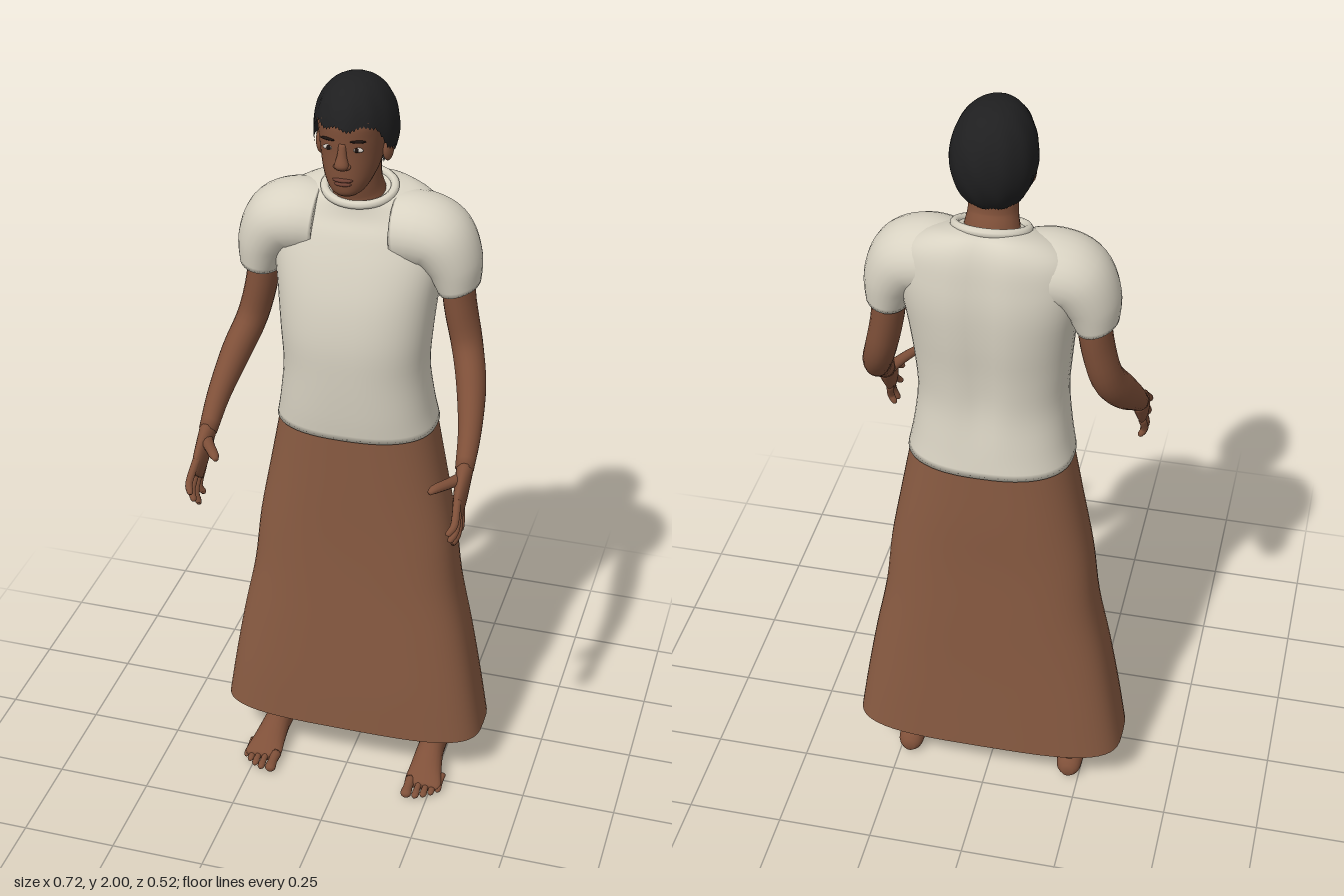
import * as THREE from 'three';

const V = (x, y, z) => new THREE.Vector3(x, y, z);
const X = V(1, 0, 0), Y = V(0, 1, 0), Z = V(0, 0, 1);
const ss = THREE.MathUtils.smoothstep;

// Smooth skin over rows of [x, y, z, radiusAlongRef, radiusAcross, squareness]
function loft(rows, { ref = X, dir = null, sides = 20, steps = 4, open = false, shape = null } = {}) {
  const path = new THREE.CatmullRomCurve3(rows.map(r => V(r[0], r[1], r[2])), false, 'catmullrom', 0.5);
  const size = new THREE.CatmullRomCurve3(rows.map(r => V(r[3], r[4], r[5] ?? 2)), false, 'catmullrom', 0.5);
  const n = (rows.length - 1) * steps, pos = [], idx = [];
  const bend = (c, e) => Math.sign(c) * Math.abs(c) ** (2 / e);
  for (let i = 0; i <= n; i++) {
    const c = path.getPoint(i / n), s = size.getPoint(i / n);
    const t = dir ?? path.getTangent(i / n);
    const u = ref.clone().addScaledVector(t, -ref.dot(t)).normalize();
    const v = t.clone().cross(u);
    for (let j = 0; j < sides; j++) {
      const a = j / sides * Math.PI * 2;
      const p = c.clone().addScaledVector(u, s.x * bend(Math.cos(a), s.z))
        .addScaledVector(v, s.y * bend(Math.sin(a), s.z));
      if (shape) shape(p);
      pos.push(p.x, p.y, p.z);
    }
  }
  for (let i = 0; i < n; i++) for (let j = 0; j < sides; j++) {
    const a = i * sides + j, b = i * sides + (j + 1) % sides;
    idx.push(a, b, b + sides, a, b + sides, a + sides);
  }
  if (!open) {
    const first = pos.length / 3, end = n * sides;
    for (const k of [0, end]) {
      const c = V(0, 0, 0);
      for (let j = 0; j < sides; j++) c.add(V().fromArray(pos, (k + j) * 3));
      pos.push(...c.divideScalar(sides).toArray());
    }
    for (let j = 0; j < sides; j++) {
      const m = (j + 1) % sides;
      idx.push(first, m, j, first + 1, end + j, end + m);
    }
  }
  const g = new THREE.BufferGeometry();
  g.setAttribute('position', new THREE.Float32BufferAttribute(pos, 3));
  g.setIndex(idx);
  g.computeVertexNormals();
  return g;
}

// Stack of level sections given as [y, halfWidth, zFront, zBack, squareness]
const stack = (rows, opts = {}) => loft(
  rows.map(([y, w, f, b, e]) => [0, y, (f + b) / 2, (f - b) / 2, w, e]),
  { ref: Z, dir: Y, sides: 56, ...opts });

export function createModel() {
  const model = new THREE.Group();
  model.name = 'standingFigure';
  const mat = (name, color, side = THREE.FrontSide) => {
    const m = new THREE.MeshStandardMaterial({ color, side });
    m.name = name;
    return m;
  };
  const skin = mat('skin', 0x7f5039), shirt = mat('shirtCream', 0xd8d2c2, THREE.DoubleSide);
  const cloth = mat('skirtBrown', 0x895b42, THREE.DoubleSide), hair = mat('hairBlack', 0x1f1f20, THREE.DoubleSide);
  const white = mat('eyeWhite', 0xcfc6bd), dark = mat('eyeDark', 0x1c1310), lip = mat('lips', 0x6d4033);
  const add = (name, geo, m) => {
    const mesh = new THREE.Mesh(geo, m);
    mesh.name = name;
    model.add(mesh);
    return mesh;
  };
  const ball = (name, m, p, r) => {
    const b = add(name, new THREE.SphereGeometry(1, 18, 12), m);
    b.position.set(...p);
    b.scale.set(...r);
    return b;
  };

  // Long flared skirt, open at the hem
  add('skirt', stack([
    [0.14, 0.36, 0.028, -0.25, 3.5], [0.28, 0.338, 0.028, -0.248, 3.4], [0.44, 0.31, 0.026, -0.246, 3.2],
    [0.6, 0.278, 0.024, -0.246, 3], [0.76, 0.259, 0.024, -0.246, 2.8], [0.92, 0.23, 0.027, -0.25, 2.6],
    [1.09, 0.198, 0.03, -0.25, 2.5]], { open: true }), cloth);

  // Shirt body with a spine groove and a neckline lower in front
  add('shirtBody', stack([
    [1.07, 0.207, 0.038, -0.257, 2.5], [1.14, 0.194, 0.046, -0.246, 2.5], [1.24, 0.184, 0.053, -0.235, 2.4],
    [1.34, 0.19, 0.055, -0.238, 2.4], [1.44, 0.2, 0.042, -0.248, 2.4], [1.53, 0.212, 0.016, -0.252, 2.4],
    [1.6, 0.215, -0.012, -0.247, 2.3], [1.65, 0.2, -0.034, -0.236, 2.2], [1.685, 0.15, -0.043, -0.212, 2],
    [1.703, 0.09, -0.045, -0.18, 2]], {
    shape: p => {
      if (p.z < -0.11) p.z += 0.012 * Math.exp(-((p.x / 0.04) ** 2)) * ss(p.y, 1.1, 1.3);
      p.y += (-0.112 - p.z) * 0.3 * ss(p.y, 1.6, 1.7);
    },
  }), shirt);
  const ringPts = Array.from({ length: 16 }, (_, i) => {
    const a = i / 16 * Math.PI * 2, z = 0.068 * Math.cos(a);
    return V(0.086 * Math.sin(a), 1.702 - z * 0.3, -0.112 + z);
  });
  add('collar', new THREE.TubeGeometry(new THREE.CatmullRomCurve3(ringPts, true), 48, 0.011, 8, true), shirt);

  // Neck and head
  add('neck', loft([
    [0, 1.64, -0.115, 0.07, 0.08], [0, 1.7, -0.105, 0.06, 0.066], [0, 1.74, -0.092, 0.055, 0.059],
    [0, 1.8, -0.085, 0.058, 0.06]], { ref: Z }), skin);
  add('head', stack([
    [1.734, 0.026, 0.026, -0.03, 2], [1.746, 0.042, 0.036, -0.06, 2.1], [1.77, 0.057, 0.04, -0.1, 2.2],
    [1.8, 0.068, 0.041, -0.135, 2.2], [1.84, 0.076, 0.041, -0.16, 2.2], [1.88, 0.081, 0.043, -0.17, 2.2],
    [1.92, 0.084, 0.042, -0.172, 2.2], [1.955, 0.072, 0.018, -0.15, 2], [1.98, 0.035, -0.02, -0.11, 2]],
    { sides: 36 }), skin);
  add('nose', loft([
    [0, 1.872, 0.036, 0.009, 0.01], [0, 1.845, 0.043, 0.011, 0.011], [0, 1.822, 0.047, 0.017, 0.015],
    [0, 1.81, 0.043, 0.015, 0.012]], { ref: X, dir: V(0, -1, 0) }), skin);
  ball('upperLip', lip, [0, 1.78, 0.036], [0.025, 0.006, 0.0105]);
  ball('lowerLip', lip, [0, 1.77, 0.035], [0.022, 0.006, 0.0105]);

  // Cropped hair: a ruffled shell whose lower edge drops toward the nape
  const hairGeo = new THREE.SphereGeometry(1, 64, 28);
  const hp = hairGeo.attributes.position, huv = hairGeo.attributes.uv;
  for (let i = 0; i < hp.count; i++) {
    const phi = huv.getX(i) * Math.PI * 2, f = Math.abs(phi - Math.PI);
    const edge = 0.41 + 0.18 * ss(f, 0.85, 1.3) + 0.2 * ss(f, 1.6, 2.3) + 0.012 * Math.sin(phi * 9);
    const th = (1 - huv.getY(i)) * Math.PI * edge;
    const r = 1 + 0.012 * Math.sin(phi * 11 + th * 4) * Math.sin(th * 5);
    const s = Math.sin(th) ** 0.85, z = Math.cos(f) * s;
    hp.setXYZ(i, -Math.sin(phi - Math.PI) * s * 0.1 * r * (1 - 0.1 * z),
      1.87 + 0.13 * Math.cos(th) * (th < 1 ? 1 : r), -0.07 + 0.125 * z * r);
  }
  // Keep the shell facing outward after the half turn in its rule
  const hi = hairGeo.index.array;
  for (let i = 0; i < hi.length; i += 3) [hi[i], hi[i + 1]] = [hi[i + 1], hi[i]];
  hairGeo.computeVertexNormals();
  add('hair', hairGeo, hair);

  for (const s of [1, -1]) {
    const side = s > 0 ? 'left' : 'right';
    const limb = (name, rows, m, opts) =>
      add(side + name, loft(rows.map(([x, ...r]) => [x * s, ...r]), opts), m);

    // Facial features
    ball(side + 'Eye', white, [0.035 * s, 1.858, 0.033], [0.014, 0.006, 0.006]);
    ball(side + 'Iris', dark, [0.034 * s, 1.858, 0.0365], [0.0058, 0.0058, 0.004]);
    ball(side + 'Brow', dark, [0.036 * s, 1.879, 0.035], [0.02, 0.0035, 0.005]).rotation.y = 0.25 * s;
    ball(side + 'Ear', skin, [0.083 * s, 1.83, -0.062], [0.011, 0.031, 0.019]).rotation.y = -0.3 * s;
    ball(side + 'Nostril', skin, [0.013 * s, 1.816, 0.042], [0.008, 0.007, 0.009]);

    // Rounded short sleeve
    limb('Sleeve', [
      [0.1, 1.605, -0.115, 0.1, 0.09], [0.15, 1.608, -0.113, 0.104, 0.092], [0.2, 1.592, -0.111, 0.1, 0.088],
      [0.236, 1.54, -0.11, 0.089, 0.072], [0.253, 1.47, -0.11, 0.074, 0.052]], shirt, { ref: Z, sides: 28, steps: 6 });

    // Arm bent forward at the elbow
    limb('Arm', [
      [0.242, 1.53, -0.12, 0.04, 0.055], [0.254, 1.42, -0.118, 0.04, 0.053], [0.278, 1.315, -0.105, 0.039, 0.047],
      [0.305, 1.235, -0.045, 0.037, 0.045], [0.324, 1.155, 0.04, 0.029, 0.034], [0.33, 1.09, 0.112, 0.023, 0.026]], skin);

    // Hand: palm, four fingers and a thumb
    limb('Palm', [
      [0.33, 1.1, 0.1, 0.022, 0.026], [0.332, 1.06, 0.14, 0.018, 0.038], [0.333, 1.03, 0.17, 0.015, 0.042],
      [0.333, 1.0, 0.193, 0.009, 0.036]], skin);
    [[1.03, 0.213, 0.99, 0.262], [1.01, 0.2, 0.957, 0.24], [0.997, 0.184, 0.928, 0.206], [0.987, 0.168, 0.938, 0.172]]
      .forEach(([y0, z0, y1, z1], i) => limb('Finger' + (i + 1), [
        [0.333, y0 + 0.02, z0 - 0.02, 0.01, 0.011], [0.338, (y0 + y1) / 2, (z0 + z1) / 2, 0.0095, 0.0095],
        [0.329, y1 + 0.005, z1 - 0.004, 0.008, 0.008], [0.327, y1, z1, 0.004, 0.004]], skin, { sides: 10 }));
    limb('Thumb', [
      [0.332, 1.075, 0.125, 0.014, 0.018], [0.305, 1.08, 0.172, 0.013, 0.014], [0.28, 1.083, 0.21, 0.011, 0.012],
      [0.27, 1.078, 0.224, 0.005, 0.006]], skin, { ref: Y, sides: 12 });

    // Lower leg, foot and toes
    limb('Leg', [
      [0.222, 0.04, -0.128, 0.032, 0.046], [0.222, 0.11, -0.125, 0.027, 0.043], [0.22, 0.2, -0.122, 0.033, 0.046],
      [0.212, 0.36, -0.12, 0.05, 0.058], [0.19, 0.55, -0.11, 0.052, 0.056], [0.14, 0.9, -0.11, 0.08, 0.085]], skin);
    limb('Foot', [
      [0.222, 0.028, -0.188, 0.015, 0.014], [0.222, 0.035, -0.168, 0.032, 0.032], [0.222, 0.045, -0.115, 0.036, 0.043],
      [0.223, 0.045, -0.06, 0.037, 0.043], [0.226, 0.032, 0, 0.044, 0.03], [0.229, 0.021, 0.04, 0.05, 0.018],
      [0.231, 0.016, 0.06, 0.044, 0.01]], skin, { dir: Z });
    [[0.194, 0.105, 0.015], [0.22, 0.104, 0.01], [0.24, 0.094, 0.0095], [0.258, 0.08, 0.009], [0.274, 0.064, 0.0085]]
      .forEach(([x, z, r], i) => limb('Toe' + (i + 1), [
        [x, 0.02, z - 0.065, r, r], [x, 0.017, z - 0.035, r * 0.85, r * 0.85], [x, 0.013, z - 0.01, r, r * 0.85],
        [x, 0.012, z, r * 0.45, r * 0.4]], skin, { sides: 12 }));
  }
  return model;
}
